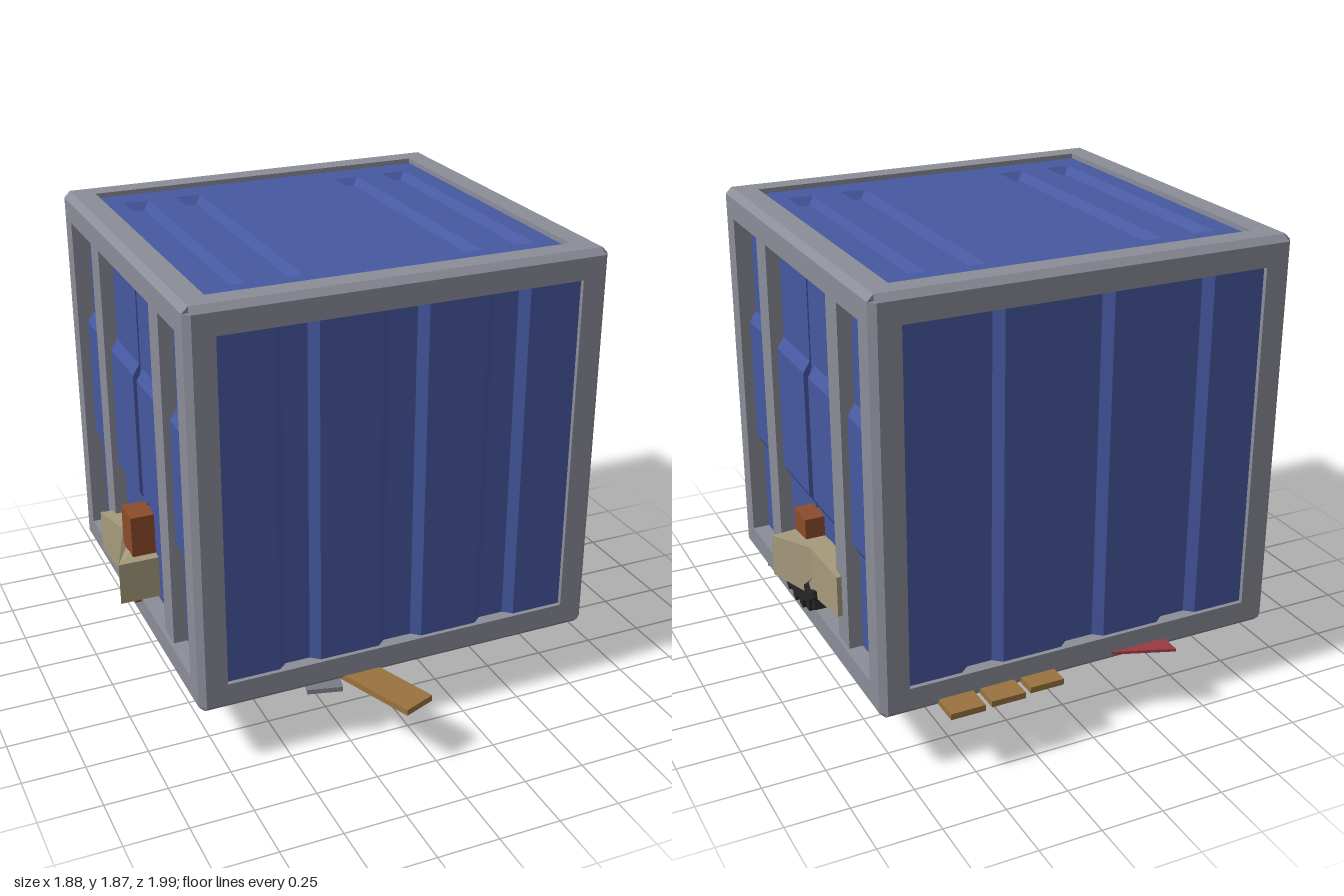
import * as THREE from 'three';

const mat = (color) => new THREE.MeshStandardMaterial({ color, flatShading: true, side: THREE.DoubleSide });
const BLUE = mat(0x4658a0), GREY = mat(0x8b8d98), WOOD = mat(0x9a7340), DARKWOOD = mat(0x5c3824),
  TAN = mat(0xa59b7c), BROWN = mat(0x8c4c2b), BLACK = mat(0x262626), RED = mat(0x993a40),
  METAL = mat(0x7b7d86), RUBBLE = mat(0x6b675a);
const GREEN = new THREE.MeshStandardMaterial({ color: 0x587a2c });

const H = { x: 0.834, y: 0.81, z: 0.793 }; // half size of the container
const CENTRE = [-0.008, 1.055, -0.099];
const Q = Math.PI / 2;

function add(parent, name, geo, material, pos = [0, 0, 0], rot = [0, 0, 0]) {
  const m = new THREE.Mesh(geo, material);
  m.name = name;
  m.position.set(...pos);
  m.rotation.set(...rot);
  parent.add(m);
  return m;
}
const box = (parent, name, material, size, pos, rot) =>
  add(parent, name, new THREE.BoxGeometry(...size), material, pos, rot);

// Polygon extruded along z, centred
function prism(points, length) {
  const shape = new THREE.Shape(points.map((p) => new THREE.Vector2(...p)));
  return new THREE.ExtrudeGeometry(shape, { depth: length, bevelEnabled: false }).translate(0, 0, -length / 2);
}

// Folded sheet: profile runs along x with depth in z, extruded along y
function sheet(profile, length) {
  const back = profile.map(([x, d]) => [x, d - 0.02]).reverse();
  return prism([...profile, ...back], length).rotateX(Q);
}

function buildFrame(parent) {
  const w = 0.112, c = 0.025;
  const frame = new THREE.Group();
  frame.name = 'frame';
  parent.add(frame);
  const beam = (U, V, L, su, sv) => prism(
    [[U - w, V - w], [U, V - w], [U, V - c], [U - c, V], [U - w, V]].map(([u, v]) => [u * su, v * sv]), 2 * (L - c));
  for (const su of [-1, 1]) for (const sv of [-1, 1]) {
    add(frame, 'depthBeam', beam(H.x, H.y, H.z, su, sv), GREY);
    add(frame, 'widthBeam', beam(H.z, H.y, H.x, su, sv).rotateY(Q), GREY);
    add(frame, 'cornerPost', beam(H.x, H.z, H.y, su, sv).rotateX(Q), GREY);
  }
}

function buildPanels(parent) {
  // Corrugated front and back
  const out = H.z - 0.018, low = out - 0.03;
  const profile = [[-0.75, out]];
  for (const [a, b] of [[-0.505, -0.335], [-0.09, 0.095], [0.335, 0.51]])
    profile.push([a, out], [a + 0.035, low], [b - 0.035, low], [b, out]);
  profile.push([0.75, out]);
  for (const [name, turn] of [['frontPanel', 0], ['backPanel', Math.PI]])
    add(parent, name, sheet(profile, 1.44), BLUE, [0, 0, 0], [0, turn, 0]);

  // Sides: a raised middle band, split by a seam, behind two upright bars
  const deep = H.x - 0.07, mid = H.x - 0.042;
  const bands = [[-0.72, deep], [-0.305, deep], [-0.255, mid], [0.255, mid], [0.3, deep], [0.72, deep]];
  for (const s of [-1, 1]) {
    const side = new THREE.Group();
    side.name = s > 0 ? 'leftSide' : 'rightSide';
    side.rotation.y = s * Q;
    parent.add(side);
    for (const k of [-1, 1]) {
      add(side, 'sidePanel', sheet(bands, 0.68).rotateZ(Q), BLUE, [k * 0.365, 0, 0]);
      box(side, 'uprightBar', GREY, [0.11, 1.44, 0.07], [k * 0.385, 0, H.x - 0.05]);
    }
    box(side, 'seam', BLUE, [0.07, 1.44, 0.02], [0, 0, deep - 0.015]);
  }

  // Roof with four pressed troughs
  const roof = new THREE.Shape([[-0.75, -0.71], [0.75, -0.71], [0.75, 0.71], [-0.75, 0.71]].map((p) => new THREE.Vector2(...p)));
  const top = H.y - 0.02, w = 0.105, l = 1.13;
  for (const x of [-0.585, -0.36, 0.36, 0.585]) {
    const a = x - w / 2, b = x + w / 2;
    roof.holes.push(new THREE.Path([[a, -l / 2], [a, l / 2], [b, l / 2], [b, -l / 2]].map((p) => new THREE.Vector2(...p))));
    const trough = new THREE.BoxGeometry(w, 0.03, l);
    trough.deleteAttribute('uv');
    const p = trough.attributes.position;
    for (let i = 0; i < p.count; i++) if (p.getY(i) < 0)
      p.setXYZ(i, p.getX(i) - Math.sign(p.getX(i)) * 0.028, p.getY(i), p.getZ(i) - Math.sign(p.getZ(i)) * 0.028);
    // Keep the walls and floor only, turned to face inward
    const faces = [...trough.index.array].filter((_, i) => i < 12 || i >= 18);
    trough.setIndex(faces.reverse());
    trough.computeVertexNormals();
    add(parent, 'roofTrough', trough, BLUE, [x, top - 0.015, 0]);
  }
  add(parent, 'roofPanel', new THREE.ExtrudeGeometry(roof, { depth: 0.004, bevelEnabled: false }).rotateX(-Q),
    BLUE, [0, top - 0.004, 0]);
}

// Ring segment with tread blocks, lying in the xy plane
function tyre(parent, name, R, r, start, arc, blocks, pos, rot) {
  const g = new THREE.Group();
  g.name = name;
  g.position.set(...pos);
  g.rotation.set(...rot);
  parent.add(g);
  add(g, 'tyreBody', new THREE.TorusGeometry(R, r, 6, Math.max(8, blocks), arc).rotateZ(start), BLACK);
  for (let i = 0; i < blocks; i++) {
    const a = start + (arc * (i + 0.5)) / blocks, d = R + r * 0.5;
    box(g, 'tread', BLACK, [r * 1.1, 0.035, r * 1.5], [d * Math.cos(a), d * Math.sin(a), 0], [0, 0, a + 0.4]);
  }
}

// Bent board: plan outline in x and z, tallest at its fold, shrinking by taper at both ends
function bentBoard(outline, height, taper) {
  const geo = prism(outline, height).rotateX(Q);
  const p = geo.attributes.position;
  for (let i = 0; i < p.count; i++) {
    const away = Math.min(1, Math.abs(p.getZ(i) + 0.25) / 0.22);
    p.setY(i, p.getY(i) * (1 - taper * away));
  }
  geo.computeVertexNormals();
  return geo;
}

function buildSideJunk(parent) {
  // Boards, bricks and a tyre poking through the sides
  add(parent, 'leftBoard', bentBoard(
    [[0.7, -0.48], [0.83, -0.48], [0.85, -0.25], [0.94, -0.05], [0.8, -0.03], [0.7, -0.03], [0.7, -0.25]], 0.21, 0.2),
    TAN, [0, 0.555, 0]);
  add(parent, 'rightBoard', bentBoard(
    [[-0.7, -0.25], [-0.7, -0.45], [-0.88, -0.48], [-0.85, -0.24], [-0.94, 0], [-0.7, 0]], 0.24, 0.25),
    TAN, [0, 0.465, 0]);
  box(parent, 'leftBrick', BROWN, [0.13, 0.39, 0.13], [0.77, 0.54, -0.095]);
  box(parent, 'rightBrick', BROWN, [0.13, 0.39, 0.13], [-0.805, 0.54, -0.1]);
  tyre(parent, 'sideTyre', 0.33, 0.068, 1.27 * Math.PI, 0.46 * Math.PI, 7, [0.81, 0.745, -0.07], [0, -Q, 0]);
}

function buildUnderside(parent) {
  const g = new THREE.Group();
  g.name = 'underside';
  parent.add(g);
  // Wooden pallet rim
  for (const s of [-1, 1]) {
    box(g, 'rimBoard', WOOD, [1.34, 0.035, 0.13], [0, 0.225, -0.11 + s * 0.5]);
    box(g, 'rimBoard', WOOD, [0.13, 0.035, 1.14], [s * 0.6, 0.228, -0.11]);
    box(g, 'rimBlock', WOOD, [0.3, 0.03, 0.12], [s * 0.35, 0.235, -0.11 - 0.58]);
    box(g, 'rimBlock', WOOD, [0.08, 0.03, 0.3], [s * 0.66, 0.235, -0.11 + s * 0.2]);
  }
  // Loose planks, sheets and rubble: [material, sx, sz, x, y, z, turn]
  const pieces = [
    [RUBBLE, 0.85, 0.8, -0.02, 0.25, -0.1, 0.4],
    [RUBBLE, 0.5, 0.34, 0.32, 0.262, 0.25, -0.3],
    [RUBBLE, 0.5, 0.3, -0.35, 0.262, -0.42, 0.25],
    [DARKWOOD, 0.9, 0.14, 0.05, 0.238, 0.2, 0.5],
    [DARKWOOD, 0.9, 0.14, -0.05, 0.24, -0.38, 0.35],
    [DARKWOOD, 0.16, 0.8, -0.38, 0.236, -0.05, 0.5],
    [METAL, 0.14, 0.75, 0.34, 0.238, -0.1, -0.6],
    [METAL, 0.9, 0.1, 0.1, 0.24, 0.5, -0.12],
    [METAL, 0.1, 0.76, -0.67, 0.225, 0.07, 0.12],
    [METAL, 0.14, 0.5, -0.28, 0.235, 0.47, -0.25],
    [METAL, 0.12, 0.24, 0.7, 0.238, 0.38, 0.5],
    [METAL, 0.5, 0.1, -0.35, 0.24, 0.52, 0.3],
  ];
  for (const [m, sx, sz, x, y, z, turn] of pieces) box(g, 'looseBoard', m, [sx, 0.02, sz], [x, y, z], [0, turn, 0]);

  // Planks and cloth sticking out at front and back
  box(g, 'frontPlank', WOOD, [0.14, 0.025, 0.75], [-0.2, 0.252, 0.62], [0, 0.38, 0]);
  [[0.19, -0.97], [0.36, -0.99], [0.53, -1]].forEach(([x, z]) =>
    box(g, 'backPlank', WOOD, [0.14, 0.025, 0.35], [x, 0.268, z + 0.175]));
  add(g, 'cloth', prism([[-0.37, -0.98], [-0.1, -0.88], [-0.1, -0.84], [-0.37, -0.84]], 0.012).rotateX(Q), RED, [0, 0.28, 0]);

  // Tyre ring around the ball, and a bent metal strip
  tyre(g, 'bottomTyre', 0.34, 0.022, 0, 2 * Math.PI, 20, [-0.03, 0.228, -0.09], [Q, 0, 0]);
  add(g, 'ball', new THREE.SphereGeometry(0.172, 32, 20), GREEN, [-0.01, 0.212, -0.1]);
  const bend = [[-0.2, 0.26], [-0.222, 0.19], [-0.24, 0.12], [-0.25, 0.06], [-0.25, 0]];
  add(g, 'bentStrip', prism([...bend, ...bend.map(([x, y]) => [x - 0.012, y]).reverse()], 0.09), METAL, [0, 0, -0.095]);
}

export function createModel() {
  const model = new THREE.Group();
  model.name = 'junkContainer';
  const container = new THREE.Group();
  container.name = 'container';
  container.position.set(...CENTRE);
  model.add(container);
  buildFrame(container);
  buildPanels(container);
  buildSideJunk(model);
  buildUnderside(model);
  return model;
}
